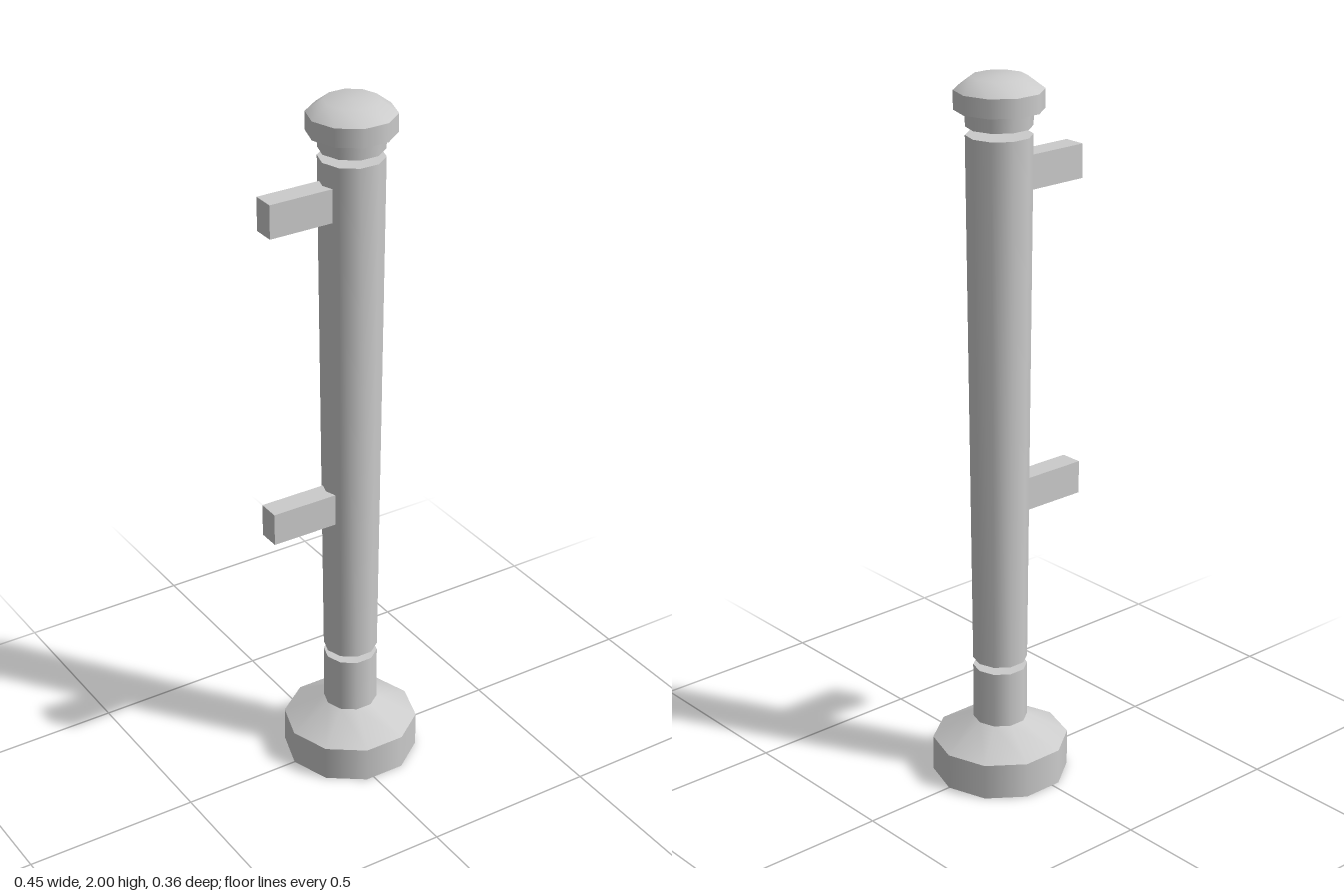
import * as THREE from 'three';
import { mergeGeometries } from 'three/addons/utils/BufferGeometryUtils.js';

const SIDES = 10;
const AXIS_X = 0.036; // the post sits off centre because the arms reach out to -x

export function createModel() {
  const model = new THREE.Group();
  model.name = 'post';
  const material = new THREE.MeshStandardMaterial({ color: 0xcccccc });

  function add(name, geometry, x, y) {
    const mesh = new THREE.Mesh(geometry, material);
    mesh.name = name;
    mesh.position.set(x, y, 0);
    model.add(mesh);
  }

  // Ten-sided turned piece: smooth around and within each strip, sharp between strips
  function turned(name, ...strips) {
    const parts = strips.map((strip) => new THREE.LatheGeometry(
      strip.map(([r, y]) => new THREE.Vector2(r, y)), SIDES, Math.PI / 2));
    add(name, mergeGeometries(parts), AXIS_X, 0);
  }

  // Foot: broad drum with a sloping shoulder
  turned('foot',
    [[0, 0], [0.191, 0]],
    [[0.191, 0], [0.191, 0.103]],
    [[0.191, 0.103], [0.076, 0.166]],
    [[0.076, 0.166], [0, 0.166]]);

  // Short stub, separated from the shaft by a narrow gap
  turned('stub',
    [[0.076, 0.166], [0.076, 0.328]],
    [[0.076, 0.328], [0, 0.328]]);

  // Shaft widening towards the top
  turned('shaft',
    [[0, 0.35], [0.076, 0.35]],
    [[0.076, 0.35], [0.089, 1.848]],
    [[0.089, 1.848], [0, 1.848]]);

  // Cap: neck, overhanging rim and rounded top
  turned('cap',
    [[0, 1.87], [0.088, 1.87]],
    [[0.088, 1.87], [0.091, 1.915]],
    [[0.091, 1.915], [0.119, 1.915]],
    [[0.119, 1.915], [0.119, 1.966]],
    [[0.119, 1.966], [0.074, 2], [0, 2]]);

  // Two square arms reaching from inside the shaft
  [['lowerArm', 0.832], ['upperArm', 1.738]].forEach(([name, y]) => {
    add(name, new THREE.BoxGeometry(0.2, 0.094, 0.063), -0.128, y);
  });

  return model;
}
